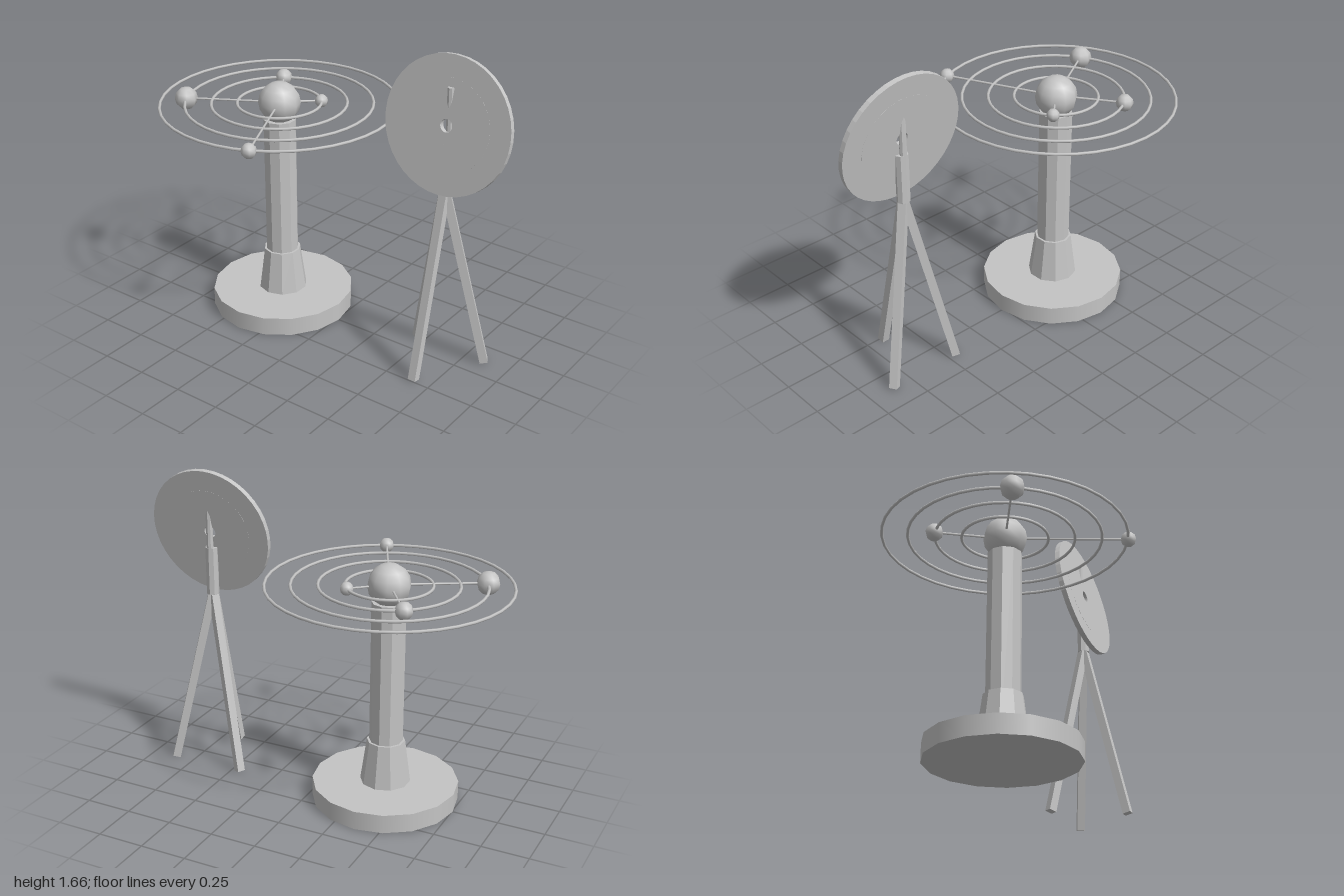
import * as THREE from 'three';

const grey = new THREE.MeshStandardMaterial({ color: 0xc4c4c4 });
grey.name = 'plain grey';
const flatGrey = grey.clone();
flatGrey.name = 'plain grey faceted';
flatGrey.flatShading = true;

function add(parent, name, geometry, material = grey, x = 0, y = 0, z = 0) {
  const mesh = new THREE.Mesh(geometry, material);
  mesh.name = name;
  mesh.position.set(x, y, z);
  parent.add(mesh);
  return mesh;
}

// Aim a y-aligned part of unit length from a to b
function span(mesh, a, b) {
  const d = b.clone().sub(a);
  mesh.position.copy(a).addScaledVector(d, 0.5);
  mesh.scale.y = d.length();
  mesh.quaternion.setFromUnitVectors(new THREE.Vector3(0, 1, 0), d.normalize());
}

function ringShape(outer, inner) {
  const s = new THREE.Shape().absarc(0, 0, outer, 0, Math.PI * 2);
  s.holes.push(new THREE.Path().absarc(0, 0, inner, 0, Math.PI * 2, true));
  return s;
}

function makeOrrery() {
  const g = new THREE.Group();
  g.name = 'orrery';
  const H = 1.19;
  // Pedestal
  add(g, 'base', new THREE.CylinderGeometry(0.385, 0.385, 0.1, 16), grey, 0, 0.05);
  add(g, 'columnFoot', new THREE.CylinderGeometry(0.1, 0.132, 0.235, 10), flatGrey, 0, 0.2175);
  add(g, 'column', new THREE.CylinderGeometry(0.088, 0.088, 1.0, 10), flatGrey, 0, 0.6);
  add(g, 'sun', new THREE.SphereGeometry(0.112, 10, 8), grey, 0, H);
  // Orbit rings, arms and planets: [orbit radius, planet x, planet z, planet radius]
  const orbits = [
    [0.22, 0.165, -0.145, 0.035],
    [0.355, -0.205, -0.295, 0.046],
    [0.492, -0.43, 0.245, 0.061],
    [0.622, 0.265, 0.565, 0.04],
  ];
  for (const [r, x, z, size] of orbits) {
    add(g, 'orbitRing', new THREE.TorusGeometry(r, 0.008, 6, 40), grey, 0, H).rotation.x = Math.PI / 2;
    add(g, 'planet', new THREE.SphereGeometry(size, 8, 6), grey, x, H, z);
    const arm = add(g, 'planetArm', new THREE.CylinderGeometry(0.006, 0.006, 1, 6));
    span(arm, new THREE.Vector3(0, H, 0), new THREE.Vector3(x, H, z));
  }
  return g;
}

function makeDishStand() {
  const g = new THREE.Group();
  g.name = 'dishStand';
  // Tilted disc with a centre hole and a barely raised inner disc
  const dish = new THREE.Group();
  dish.name = 'dish';
  dish.position.set(0, 1.322, 0.003);
  dish.rotation.x = -THREE.MathUtils.degToRad(10);
  g.add(dish);
  const plate = (name, outer, inner, depth) =>
    add(dish, name, new THREE.ExtrudeGeometry(ringShape(outer, inner),
      { depth, bevelEnabled: false, curveSegments: 20 }), grey, 0, 0, -depth / 2);
  plate('dishRim', 0.345, 0.235, 0.028);
  plate('dishCentre', 0.235, 0.033, 0.029);
  // Upright post and thin pointer rod
  add(g, 'post', new THREE.CylinderGeometry(0.034, 0.034, 0.26, 8), flatGrey, 0, 1.105);
  add(g, 'pointerRod', new THREE.CylinderGeometry(0.018, 0.018, 0.32, 8), flatGrey, 0, 1.35, -0.015);
  // Three splayed legs
  for (let i = 0; i < 3; i++) {
    const pivot = new THREE.Group();
    pivot.name = 'legMount';
    pivot.rotation.y = i * Math.PI * 2 / 3;
    g.add(pivot);
    const leg = add(pivot, 'leg', new THREE.BoxGeometry(0.042, 1, 0.042));
    span(leg, new THREE.Vector3(0, 0.99, 0), new THREE.Vector3(0, 0.005, 0.235));
  }
  return g;
}

export function createModel() {
  const model = new THREE.Group();
  model.name = 'orreryWithDish';
  const orrery = makeOrrery();
  orrery.position.x = -0.37;
  const stand = makeDishStand();
  stand.position.x = 0.655;
  model.add(orrery, stand);
  return model;
}
